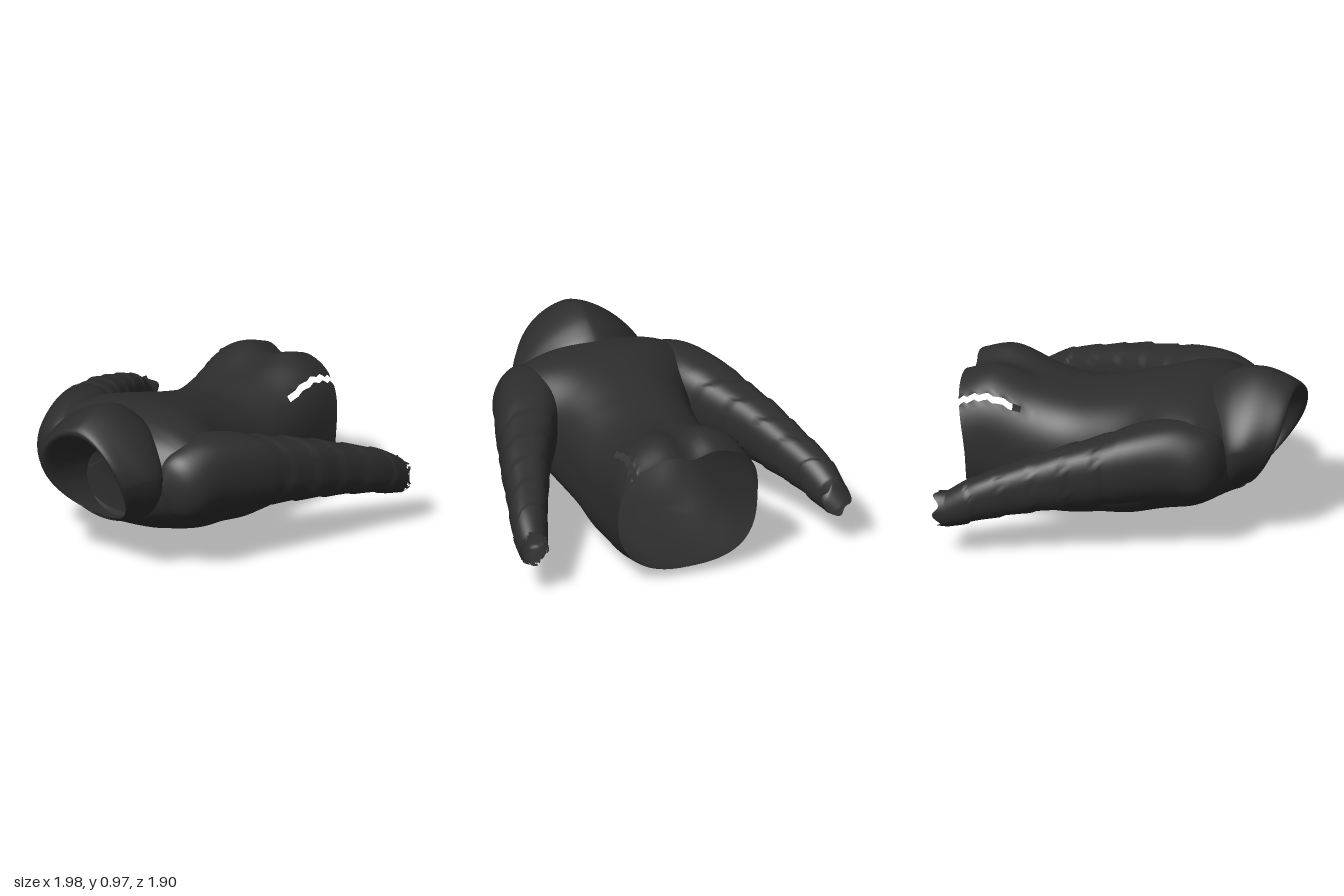
import * as THREE from 'three';

const fabric = new THREE.MeshStandardMaterial({ color: 0x2d2d2d, side: THREE.DoubleSide });
fabric.name = 'charcoal fabric';

// Catmull-Rom interpolation through a list of ring parameter rows
function ringAt(rows, s) {
  const i = Math.min(Math.floor(s), rows.length - 2), t = s - i;
  const row = k => rows[Math.max(0, Math.min(rows.length - 1, k))];
  const [a, b, c, d] = [row(i - 1), row(i), row(i + 1), row(i + 2)];
  return b.map((p, k) => p + 0.5 * t * (c[k] - a[k] +
    t * (2 * a[k] - 5 * p + 4 * c[k] - d[k] + t * (3 * (p - c[k]) + d[k] - a[k]))));
}

// Open tube of rings. Row: z at top, z at bottom, y top, y bottom, half width,
// z bulge at mid height, centre x, roundness of top, roundness of bottom (1 = ellipse, less = boxier)
function loft(name, rows, { around = 72, steps = 8, shape = () => {}, skip = () => false, mirror = 1 }) {
  const pts = [], index = [], n = (rows.length - 1) * steps;
  const power = (v, e) => Math.sign(v) * Math.pow(Math.abs(v), e);
  for (let j = 0; j <= n; j++) {
    const [zt, zb, yt, yb, hw, bulge, cx, top, bottom] = ringAt(rows, j / steps);
    for (let i = 0; i < around; i++) {
      const a = i / around * Math.PI * 2, e = Math.sin(a) > 0 ? top : bottom;
      const h = (power(Math.sin(a), e) + 1) / 2;
      const p = new THREE.Vector3(
        cx + hw * power(Math.cos(a), e),
        yb + (yt - yb) * h,
        zb + (zt - zb) * h + bulge * 4 * h * (1 - h));
      shape(p, { i, j, a, cx, cy: (yt + yb) / 2 });
      p.x *= mirror;
      pts.push(p);
    }
  }
  for (let j = 0; j < n; j++) for (let i = 0; i < around; i++) {
    const k = (i + 1) % around;
    const [a, b, c, d] = [j * around + i, j * around + k, (j + 1) * around + k, (j + 1) * around + i];
    if (skip(pts[a].clone().add(pts[c]).multiplyScalar(0.5), i, j)) continue;
    if (mirror > 0) index.push(a, b, c, a, c, d);
    else index.push(a, c, b, a, d, c);
  }
  const g = new THREE.BufferGeometry().setFromPoints(pts);
  g.setIndex(index);
  g.computeVertexNormals();
  const mesh = new THREE.Mesh(g, fabric);
  mesh.name = name;
  return mesh;
}

// Body lying face down, from hem to collar
const bodyRows = [
  [-0.955, -0.88, 0.775, 0.055, 0.42, 0.06, 0, 0.76, 0.72],
  [-0.76, -0.76, 0.83, 0.02, 0.405, 0.02, 0, 0.76, 0.7],
  [-0.5, -0.5, 0.75, 0.0, 0.385, 0, 0, 0.78, 0.66],
  [-0.3, -0.3, 0.72, 0.01, 0.38, 0, 0, 0.8, 0.64],
  [-0.1, -0.1, 0.76, 0.035, 0.385, 0, 0, 0.8, 0.66],
  [0.1, 0.1, 0.82, 0.06, 0.425, 0, 0, 0.82, 0.8],
  [0.3, 0.3, 0.86, 0.11, 0.54, 0, 0, 0.8, 1.05],
  [0.45, 0.45, 0.855, 0.17, 0.6, 0, 0, 0.85, 1.05],
  [0.55, 0.55, 0.82, 0.22, 0.56, 0, 0, 0.88, 1],
  [0.63, 0.63, 0.78, 0.26, 0.45, 0, 0, 0.95, 1],
  [0.68, 0.68, 0.74, 0.275, 0.35, 0, 0, 1, 1],
];

// Sleeve from cuff to shoulder
const sleeveRows = [
  [-0.81, -0.79, 0.385, 0.18, 0.085, 0, 0.905, 1, 1],
  [-0.7, -0.7, 0.455, 0.2, 0.1, 0, 0.88, 0.9, 1],
  [-0.6, -0.6, 0.5, 0.23, 0.11, 0, 0.85, 0.8, 1],
  [-0.4, -0.4, 0.575, 0.265, 0.125, 0, 0.775, 0.75, 1],
  [-0.2, -0.2, 0.645, 0.29, 0.145, 0, 0.7, 0.72, 1],
  [0, 0, 0.7, 0.305, 0.17, 0, 0.61, 0.72, 1],
  [0.2, 0.2, 0.765, 0.32, 0.2, 0, 0.52, 0.78, 1],
  [0.4, 0.4, 0.79, 0.335, 0.19, 0, 0.455, 0.88, 1],
  [0.55, 0.55, 0.75, 0.34, 0.165, 0, 0.425, 1, 1],
  [0.63, 0.63, 0.69, 0.4, 0.11, 0, 0.4, 1, 1],
  [0.67, 0.67, 0.58, 0.52, 0.02, 0, 0.37, 1, 1],
];

// Hood from back seam over the crown to the rim, then folded inward to the neck
const hoodRows = [
  [0.45, 0.56, 0.83, 0.28, 0.31, 0.03, 0, 1.1, 0.95],
  [0.5, 0.62, 0.885, 0.26, 0.365, 0.06, 0, 1.2, 0.95],
  [0.6, 0.65, 0.945, 0.265, 0.39, 0.06, 0, 1.3, 0.95],
  [0.73, 0.67, 0.972, 0.275, 0.38, 0.06, 0, 1.35, 1],
  [0.85, 0.68, 0.945, 0.285, 0.34, 0.07, 0, 1.3, 1],
  [0.945, 0.69, 0.89, 0.29, 0.29, 0.08, 0, 1.15, 1],
  [0.92, 0.68, 0.83, 0.285, 0.25, 0.06, 0, 1, 1],
  [0.82, 0.67, 0.78, 0.28, 0.235, 0.02, 0, 0.95, 1.05],
  [0.7, 0.65, 0.72, 0.275, 0.22, 0, 0, 0.9, 1.1],
  [0.6, 0.6, 0.65, 0.27, 0.2, 0, 0, 0.8, 1.1],
];

// True where a point lies well inside the body
function insideBody(p) {
  for (let i = 0; i < bodyRows.length - 1; i++) {
    const a = bodyRows[i], b = bodyRows[i + 1];
    if (p.z < a[1] || p.z > b[1]) continue;
    const t = (p.z - a[1]) / (b[1] - a[1]), mix = k => a[k] + (b[k] - a[k]) * t;
    const u = p.x / mix(4), v = (p.y - (mix(2) + mix(3)) / 2) / ((mix(2) - mix(3)) / 2);
    return u * u + v * v < 0.8;
  }
  return false;
}

export function createModel() {
  const group = new THREE.Group();
  group.name = 'hoodedJacket';

  // Body with two rounded lobes at the lower back and a zigzag tear along each side near the hem
  const tearColumns = [11, 12, 41, 42], tearEdges = [11, 12, 13, 41, 42, 43];
  group.add(loft('body', bodyRows, {
    around: 108,
    shape: (p, { i, j }) => {
      const low = THREE.MathUtils.smoothstep(-p.z, 0.4, 0.75);
      const groove = low * Math.exp(-((p.x / 0.08) ** 2));
      if (p.y > 0.5) {
        p.y -= 0.05 * groove;
        p.z += 0.025 * groove;
      }
      if (p.y > 0.05 && p.y < 0.3) p.y += 0.004 * Math.sin(p.z * 17 + p.x * 9);
      if (tearEdges.includes(i)) p.y += low * 0.008 * (j % 3 - 1);
    },
    skip: (p, i) => p.z < -0.55 && tearColumns.includes(i),
  }));

  // Sleeves drooping outward, with layered bands and frayed cuffs
  for (const side of [1, -1]) {
    group.add(loft(side > 0 ? 'leftSleeve' : 'rightSleeve', sleeveRows, {
      around: 48, mirror: side,
      shape: (p, { j, a, cx, cy }) => {
        const band = ((p.z + 1) / 0.17 + 0.15 * Math.sin(a * 2 + side)) % 1;
        const fold = p.z < 0.15 ? 1 + 0.06 * (band - 0.5) : 1;
        p.x = cx + (p.x - cx) * fold;
        p.y = cy + (p.y - cy) * fold - 0.04 * (p.x - cx);
        if (j === 0) p.z += 0.02 * Math.sin(a * 5 + side) + (side < 0 ? -0.04 : 0);
      },
      skip: (p, i, j) => insideBody(p) || (j < 2 && (i * 7 + j * 5) % 11 < 3 && side > 0),
    }));
  }

  // Peaked hood
  group.add(loft('hood', hoodRows, { steps: 6 }));
  return group;
}
